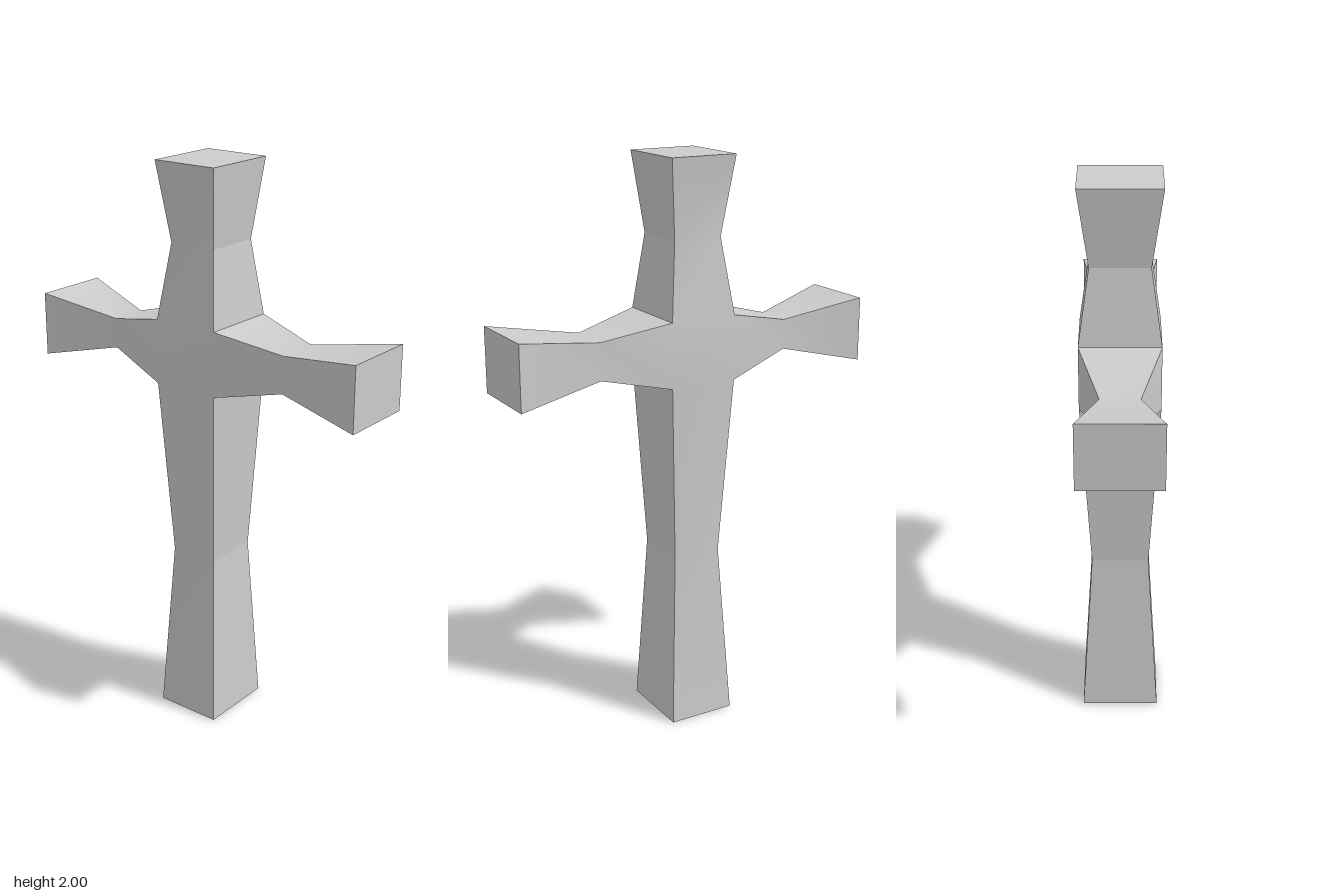
import * as THREE from 'three';
import { toCreasedNormals } from 'three/addons/utils/BufferGeometryUtils.js';

// Shared extents of the full cross-sections
const W = 0.137, ZB = -0.13, ZF = 0.11, Y0 = 1.245, Y1 = 1.47, END = 0.655;

// Rectangular rings [position, half width, low, high], counter-clockwise seen from the axis tip
const ringY = ([y, w, lo, hi]) => [[-w, y, hi], [w, y, hi], [w, y, lo], [-w, y, lo]];
const ringZ = ([z, w, lo, hi]) => [[-w, lo, z], [w, lo, z], [w, hi, z], [-w, hi, z]];

function createSurface() {
  const pos = [];
  const quad = (a, b, c, d) => pos.push(...a, ...b, ...c, ...a, ...c, ...d);

  // Joins consecutive rings; caps one end, the other opens into the hub
  function loft(ring, sections, capStart, sides = [0, 1, 2, 3]) {
    const rings = sections.map(ring);
    for (let k = 0; k + 1 < rings.length; k++) {
      const a = rings[k], b = rings[k + 1];
      for (const i of sides) {
        const j = (i + 1) % 4;
        quad(a[i], a[j], b[j], b[i]);
      }
    }
    if (capStart === true) quad(...[...rings[0]].reverse());
    if (capStart === false) quad(...rings[rings.length - 1]);
  }

  // Long lower shaft and short upper shaft, each pinched at a waist
  loft(ringY, [[0, W, ZB, ZF], [0.62, 0.1, -0.095, 0.08], [Y0, W, ZB, ZF]], true);
  loft(ringY, [[Y1, W, ZB, ZF], [1.73, 0.1, -0.095, 0.08], [2, W, ZB, ZF]], false);

  // Back and front arms
  loft(ringZ, [[-END, W, Y0, Y1], [-0.38, 0.065, 1.305, 1.41], [ZB, W, Y0, Y1]], true);
  loft(ringZ, [[ZF, W, Y0, Y1], [0.345, 0.078, 1.293, 1.422], [END, W, Y0, Y1]], false);

  // Hub: only its two outer sides
  loft(ringY, [[Y0, W, ZB, ZF], [Y1, W, ZB, ZF]], null, [1, 3]);

  const raw = new THREE.BufferGeometry();
  raw.setAttribute('position', new THREE.Float32BufferAttribute(pos, 3));
  const geo = toCreasedNormals(raw, 0.7);

  // Keep the front and back planes of the shaft flat
  const p = geo.attributes.position, n = geo.attributes.normal;
  const tri = new THREE.Triangle(), face = new THREE.Vector3();
  for (let i = 0; i < p.count; i += 3) {
    tri.setFromAttributeAndIndices(p, i, i + 1, i + 2);
    tri.getNormal(face);
    if (Math.abs(face.z) > 0.9) {
      for (let k = 0; k < 3; k++) n.setXYZ(i + k, face.x, face.y, face.z);
    }
  }
  return geo;
}

export function createModel() {
  const group = new THREE.Group();
  group.name = 'cross';
  const body = new THREE.Mesh(createSurface(), new THREE.MeshStandardMaterial({ color: 0xcccccc }));
  body.name = 'crossBody';
  group.add(body);
  return group;
}
